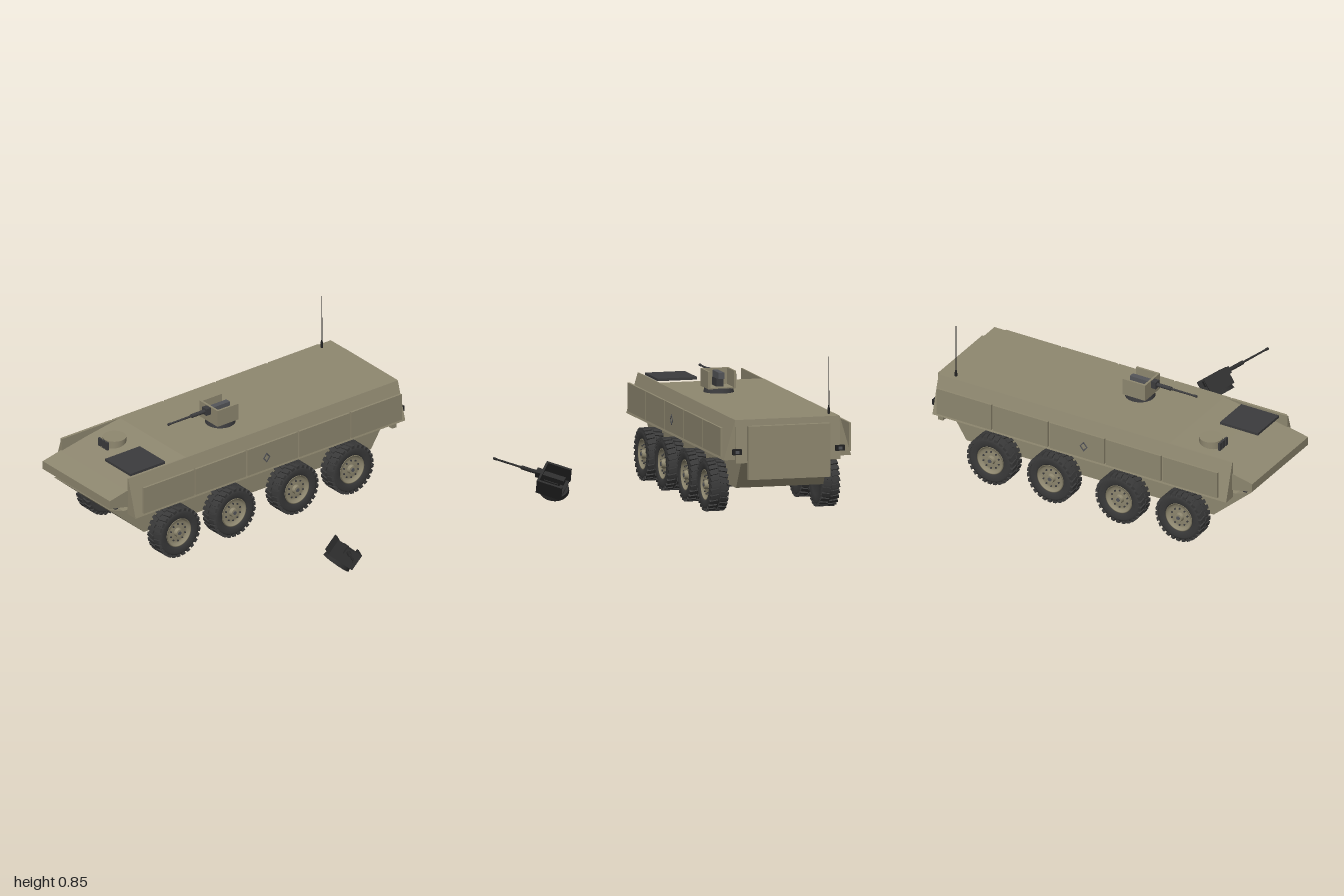
import * as THREE from 'three';
import { mergeGeometries } from 'three/addons/utils/BufferGeometryUtils.js';

const mat = (name, color, extra = {}) => {
  const m = new THREE.MeshStandardMaterial({ color, ...extra });
  m.name = name;
  return m;
};

export function createModel() {
  const khaki = mat('khaki paint', 0x8f8870);
  const rubber = mat('tyre rubber', 0x3a3a3a);
  const dark = mat('dark metal', 0x3c3c3e);
  const steel = mat('gun steel', 0x55565a);
  const black = mat('black fittings', 0x222222);
  const charred = mat('charred metal', 0x2d2d2d);

  const root = new THREE.Group();
  root.name = 'armouredVehicleScene';
  const vehicle = new THREE.Group();
  vehicle.name = 'vehicle';
  vehicle.position.x = -0.4755;
  root.add(vehicle);

  const add = (parent, name, geo, material, x = 0, y = 0, z = 0) => {
    const m = new THREE.Mesh(geo, material);
    m.name = name;
    m.position.set(x, y, z);
    parent.add(m);
    return m;
  };
  const box = (w, h, d) => new THREE.BoxGeometry(w, h, d);
  const cyl = (r0, r1, h, n = 24) => new THREE.CylinderGeometry(r0, r1, h, n);
  const shapeOf = (pts) => new THREE.Shape(pts.map(([a, b]) => new THREE.Vector2(a, b)));

  // Side profile of [z, y] points, extruded across x and centred
  const sideExtrude = (pts, width) => {
    const g = new THREE.ExtrudeGeometry(shapeOf(pts), { depth: width, bevelEnabled: false });
    return g.translate(0, 0, -width / 2).rotateY(-Math.PI / 2);
  };

  // Hull: upper body with pointed nose, boat-shaped lower body
  add(vehicle, 'upperHull', sideExtrude([
    [-0.98, 0.31], [0.57, 0.31], [1, 0.4], [1, 0.447], [0.88, 0.473], [0.7, 0.508], [0.48, 0.543], [-0.96, 0.543],
  ], 0.585), khaki);
  add(vehicle, 'lowerHull', sideExtrude([
    [-0.815, 0.153], [0.73, 0.153], [0.965, 0.36], [0.87, 0.325], [-0.925, 0.325],
  ], 0.488), khaki);

  // Rear ramp
  add(vehicle, 'rearRamp', box(0.46, 0.29, 0.03), khaki, 0, 0.365, -0.985);

  const diamond = shapeOf([[0, 0.03], [-0.025, 0], [0, -0.03], [0.025, 0]]);
  diamond.holes.push(new THREE.Path([[0, 0.02], [0.016, 0], [0, -0.02], [-0.016, 0]].map((p) => new THREE.Vector2(...p))));
  const diamondGeo = new THREE.ExtrudeGeometry(diamond, { depth: 0.003, bevelEnabled: false }).rotateY(Math.PI / 2);

  for (const s of [1, -1]) {
    const side = new THREE.Group();
    side.name = s > 0 ? 'leftSide' : 'rightSide';
    vehicle.add(side);

    // Sloped sponson
    const sec = [[0.285, 0.327], [0.357, 0.327], [0.2925, 0.543], [0.285, 0.543]].map(([x, y]) => [x * s, y]);
    const sponson = new THREE.ExtrudeGeometry(shapeOf(sec), { depth: 1.835, bevelEnabled: false });
    add(side, 'sponson', sponson, khaki, 0, 0, -0.96);

    // Upright armour panels
    for (let i = 0; i < 5; i++) {
      add(side, 'armourPanel', box(0.012, 0.155, 0.342), khaki, s * 0.359, 0.4215, 0.653 - i * 0.353);
    }
    const mark = add(side, 'diamondMark', diamondGeo, steel, s * 0.3645, 0.415, -0.01);
    if (s < 0) mark.rotation.y = Math.PI;

    // Lamps
    add(side, 'headlight', box(0.04, 0.016, 0.02), dark, s * 0.268, 0.388, 0.95);
    add(side, 'tailLight', box(0.05, 0.03, 0.02), black, s * 0.288, 0.372, -0.98);
    add(side, 'tailLightLens', box(0.02, 0.016, 0.006), steel, s * 0.288, 0.372, -0.991);
  }

  // Driver hatch with periscopes, engine cover
  add(vehicle, 'driverHatch', cyl(0.064, 0.064, 0.05, 32), khaki, -0.125, 0.527, 0.643);
  for (let i = -1; i <= 1; i++) {
    add(vehicle, 'periscope', box(0.022, 0.045, 0.012), dark, -0.125 + i * 0.03, 0.53, 0.718);
  }
  add(vehicle, 'engineCover', box(0.222, 0.014, 0.236), dark, 0.152, 0.54, 0.718);

  // Antenna
  add(vehicle, 'antennaBase', cyl(0.006, 0.008, 0.035, 12), black, -0.258, 0.558, -0.872);
  add(vehicle, 'antennaRod', cyl(0.002, 0.003, 0.28, 8), black, -0.258, 0.712, -0.872);

  // Wheels, outer face towards +x
  const lathe = (pts, n = 40) => new THREE.LatheGeometry(pts.map((p) => new THREE.Vector2(...p)), n).rotateZ(-Math.PI / 2);
  const tyreGeo = lathe([[0.001, -0.035], [0.07, -0.038], [0.08, -0.046], [0.118, -0.05], [0.132, -0.045],
    [0.136, -0.035], [0.136, 0.035], [0.132, 0.045], [0.118, 0.05], [0.09, 0.048], [0.08, 0.04], [0.078, 0.02]]);
  const rimGeo = lathe([[0.082, 0.02], [0.083, 0.044], [0.077, 0.044], [0.068, 0.026], [0.05, 0.032], [0.001, 0.032]]);
  const lugs = [];
  for (let i = 0; i < 26; i++) {
    for (const s of [1, -1]) {
      const g = box(0.046, 0.016, 0.021).rotateY(s * 0.2);
      g.translate(s * 0.0265, 0.135, 0).rotateX(((i + (s > 0 ? 0 : 0.5)) / 26) * Math.PI * 2);
      lugs.push(g);
    }
  }
  const lugGeo = mergeGeometries(lugs);
  const bolts = [];
  for (let i = 0; i < 10; i++) {
    bolts.push(cyl(0.005, 0.005, 0.008, 6).rotateZ(-Math.PI / 2).translate(0.034, 0.05, 0).rotateX((i / 10) * Math.PI * 2));
  }
  const boltGeo = mergeGeometries(bolts);
  const hubGeo = cyl(0.022, 0.026, 0.02, 20).rotateZ(-Math.PI / 2);
  const capGeo = cyl(0.011, 0.011, 0.006, 12).rotateZ(-Math.PI / 2);
  const axleGeo = cyl(0.017, 0.017, 0.56, 16).rotateZ(Math.PI / 2);

  for (const z of [0.578, 0.203, -0.225, -0.6]) {
    add(vehicle, 'axle', axleGeo, dark, 0, 0.145, z);
    for (const s of [1, -1]) {
      const wheel = new THREE.Group();
      wheel.name = 'wheel';
      wheel.position.set(s * 0.311, 0.145, z);
      if (s < 0) wheel.rotation.y = Math.PI;
      add(wheel, 'tyre', tyreGeo, rubber);
      add(wheel, 'treadLugs', lugGeo, rubber);
      add(wheel, 'rim', rimGeo, khaki);
      add(wheel, 'hub', hubGeo, khaki, 0.04);
      add(wheel, 'hubCap', capGeo, steel, 0.05);
      add(wheel, 'wheelBolts', boltGeo, dark);
      vehicle.add(wheel);
    }
  }

  // Remote weapon station: ring, three-sided shield, gun along +z
  const weaponStation = (name, shield, base, metal) => {
    const g = new THREE.Group();
    g.name = name;
    add(g, 'ring', cyl(0.078, 0.082, 0.024, 32), base, 0, 0.012, 0);
    add(g, 'floor', box(0.15, 0.008, 0.13), shield, 0, 0.026, 0.005);
    for (const s of [1, -1]) add(g, 'sideShield', box(0.012, 0.095, 0.142), shield, s * 0.072, 0.071, 0.006);
    add(g, 'frontShield', box(0.156, 0.095, 0.012), shield, 0, 0.071, 0.072);
    add(g, 'gunCradle', box(0.04, 0.045, 0.08), base, 0, 0.052, 0.015);
    add(g, 'receiver', box(0.032, 0.034, 0.12), metal, 0, 0.092, 0.005);
    add(g, 'gunPort', box(0.038, 0.04, 0.032), base, 0, 0.095, 0.092);
    add(g, 'barrelSleeve', cyl(0.011, 0.011, 0.09, 16).rotateX(Math.PI / 2), base, 0, 0.095, 0.15);
    add(g, 'barrel', cyl(0.005, 0.006, 0.16, 12).rotateX(Math.PI / 2), base, 0, 0.095, 0.27);
    add(g, 'muzzle', cyl(0.007, 0.007, 0.018, 12).rotateX(Math.PI / 2), base, 0, 0.095, 0.346);
    return g;
  };

  const mounted = weaponStation('weaponStation', khaki, dark, steel);
  mounted.position.set(0.0755, 0.543, 0.08);
  vehicle.add(mounted);

  // Burnt-out station lying tilted on the ground beside the vehicle
  const wreck = weaponStation('fallenWeaponStation', charred, charred, charred);
  const forward = new THREE.Vector3(0.83, 0.27, 0.49).normalize();
  const right = new THREE.Vector3(0.09, 0.757, -0.645).cross(forward).normalize();
  const up = forward.clone().cross(right);
  wreck.quaternion.setFromRotationMatrix(new THREE.Matrix4().makeBasis(right, up, forward));
  wreck.position.set(0.538, 0.056, 0.024);
  root.add(wreck);

  return root;
}
